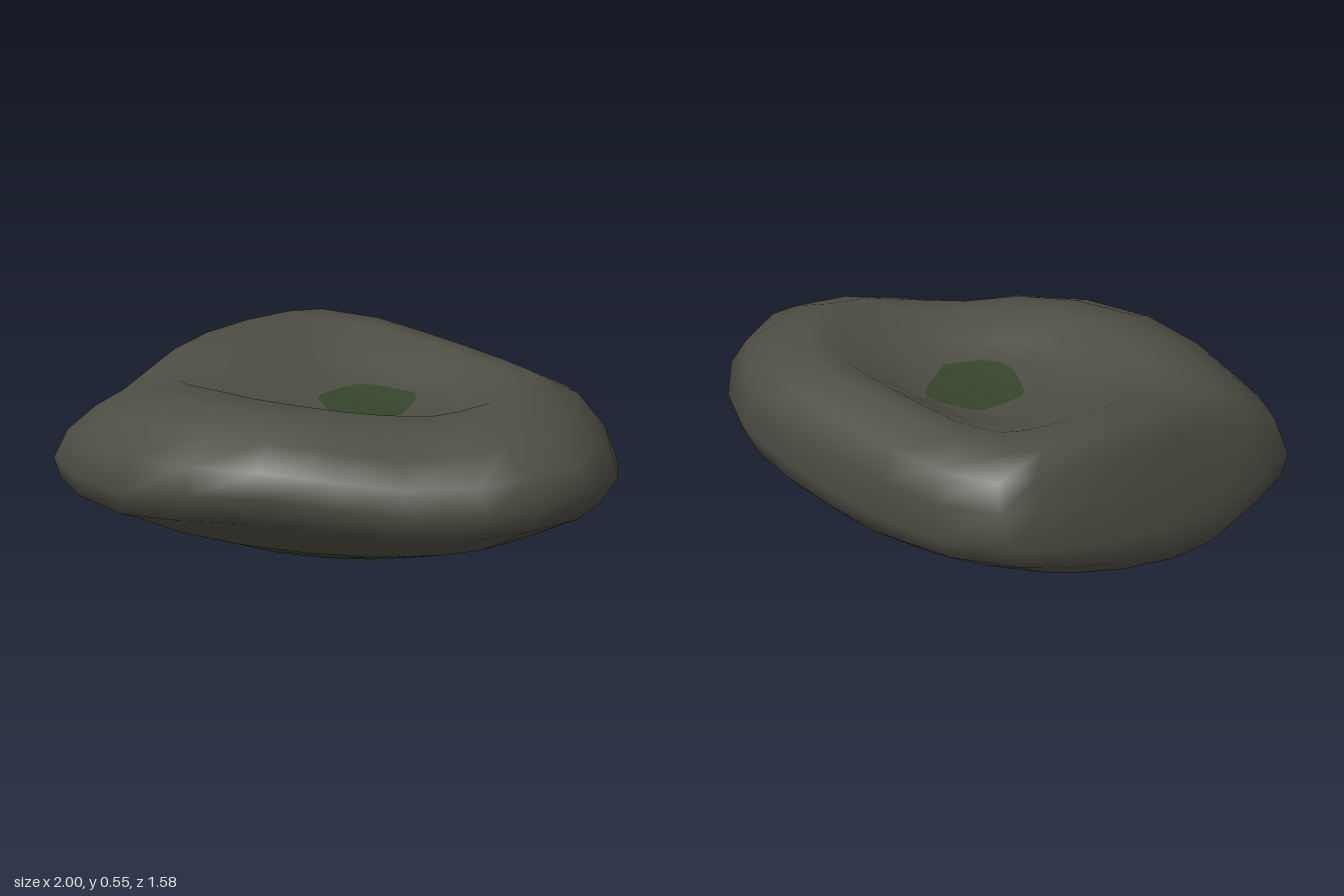
import * as THREE from 'three';

// Widest outline of the stone, seen from above as (x, z)
const outline = [
  [1, -0.03], [0.93, 0.18], [0.82, 0.33], [0.6, 0.49], [0.4, 0.63], [0.13, 0.74],
  [-0.17, 0.79], [-0.48, 0.75], [-0.76, 0.66], [-0.94, 0.55], [-0.98, 0.35], [-1, 0.1],
  [-0.99, -0.14], [-0.95, -0.4], [-0.88, -0.62], [-0.78, -0.74], [-0.48, -0.79],
  [-0.2, -0.75], [0.13, -0.69], [0.4, -0.63], [0.6, -0.57], [0.77, -0.45], [0.92, -0.26],
];
// Mossy patch in the middle of the hollow
const patch = [
  [0.15, -0.03], [0.08, 0.09], [0.01, 0.12], [-0.06, 0.1], [-0.22, -0.02],
  [-0.22, -0.12], [-0.19, -0.25], [0.03, -0.27], [0.06, -0.24],
];
const patchCentre = [-0.03, -0.08];
const patchHeight = 0.44;

// Cross-sections from underside to hollow:
// xMin, xMax, zMin, zMax, y at left end, y at right end, roundness (0 outline, 1 ellipse), lift
const sections = [
  [-0.72, 0.43, -0.47, 0.4, 0, 0.012, 0.8, 0],
  [-1, 0.66, -0.655, 0.63, 0.08, 0.08, 0.85, 0.01],
  [-1, 0.93, -0.75, 0.77, 0.12, 0.21, 0.2, 0.08],
  [-0.985, 1, -0.79, 0.79, 0.195, 0.31, 0, 0.1],
  [-0.92, 0.93, -0.785, 0.79, 0.34, 0.4, 0, 0.06],
  [-0.86, 0.79, -0.75, 0.68, 0.465, 0.485, 0, 0.015],
  [-0.8, 0.64, -0.63, 0.55, 0.54, 0.54, 0, 0],
  [-0.64, 0.5, -0.53, 0.41, 0.548, 0.54, 0, 0],
  [-0.44, 0.34, -0.37, 0.26, 0.468, 0.468, 0.2, 0],
];

// Where the sides are undercut: x, z, share of the section's lift, radius
const undercuts = [[0.1, 0.76, 1, 0.5], [-0.78, -0.72, 0.6, 0.35], [-0.94, 0.55, 0.35, 0.25]];
// Worn shoulders where the top sinks, and one that swells: x, z, depth, radius
const dips = [[-0.8, 0.38, 0.085, 0.32], [0.52, 0.38, 0.065, 0.27], [0.74, -0.48, -0.055, 0.22]];

const falloff = (x, z, [cx, cz, amount, radius]) =>
  amount * Math.exp(-((x - cx) ** 2 + (z - cz) ** 2) / radius ** 2);

function sectionRing([x0, x1, z0, z1, yL, yR, round, lift]) {
  return outline.map(([px, pz]) => {
    const u = px / 2, v = pz / 1.58;
    const grow = 1 + round * (0.5 / Math.hypot(u, v) - 1);
    const x = x0 + (x1 - x0) * (0.5 + u * grow);
    const z = z0 + (z1 - z0) * (0.5 + v * grow);
    let y = yL + (yR - yL) * (u + 0.5) ** 3;
    const exposure = (y / 0.55) ** 2;
    for (const cut of undercuts) y += lift * falloff(x, z, cut);
    for (const dip of dips) y -= exposure * falloff(x, z, dip);
    return [x, y, z];
  });
}

// Point where a ray from the patch centre towards (x, z) meets the patch edge
function patchPoint([x, z]) {
  const [cx, cz] = patchCentre;
  const dx = x - cx, dz = z - cz;
  for (let i = 0; i < patch.length; i++) {
    const [ax, az] = patch[i], [bx, bz] = patch[(i + 1) % patch.length];
    const ex = bx - ax, ez = bz - az;
    const det = dx * ez - dz * ex;
    const t = ((ax - cx) * ez - (az - cz) * ex) / det;
    const s = ((ax - cx) * dz - (az - cz) * dx) / det;
    if (t > 0 && s >= -1e-6 && s <= 1 + 1e-6) return [cx + dx * t, patchHeight, cz + dz * t];
  }
  return [cx, patchHeight, cz];
}

export function createModel() {
  const stone = new THREE.MeshStandardMaterial({ color: 0x4e4d43 });
  stone.name = 'stone';
  const moss = new THREE.MeshStandardMaterial({ color: 0x36452d });
  moss.name = 'moss';

  const rings = sections.map(sectionRing);
  rings.push(outline.map(patchPoint));
  const n = outline.length, last = rings.length - 1;
  const positions = rings.flat(2);
  const bottom = rings.length * n, top = bottom + 1;
  positions.push(-0.12, 0, -0.03, patchCentre[0], patchHeight - 0.005, patchCentre[1]);

  const index = [];
  const band = (r) => {
    for (let j = 0; j < n; j++) {
      const k = (j + 1) % n;
      const a = r * n + j, b = r * n + k, c = a + n, d = b + n;
      index.push(a, c, b, b, c, d);
    }
  };

  // Mossy underside
  for (let j = 0; j < n; j++) index.push(bottom, j, (j + 1) % n);
  band(0);
  const undersideEnd = index.length;
  // Stone sides, rim and hollow
  for (let r = 1; r < last; r++) band(r);
  const stoneEnd = index.length;
  // Mossy floor of the hollow
  for (let j = 0; j < n; j++) index.push(top, last * n + (j + 1) % n, last * n + j);

  const geometry = new THREE.BufferGeometry();
  geometry.setAttribute('position', new THREE.Float32BufferAttribute(positions, 3));
  geometry.setIndex(index);
  geometry.addGroup(0, undersideEnd, 1);
  geometry.addGroup(undersideEnd, stoneEnd - undersideEnd, 0);
  geometry.addGroup(stoneEnd, index.length - stoneEnd, 1);
  geometry.computeVertexNormals();

  const rock = new THREE.Mesh(geometry, [stone, moss]);
  rock.name = 'hollowedStone';
  const model = new THREE.Group();
  model.name = 'stone';
  model.add(rock);
  return model;
}
